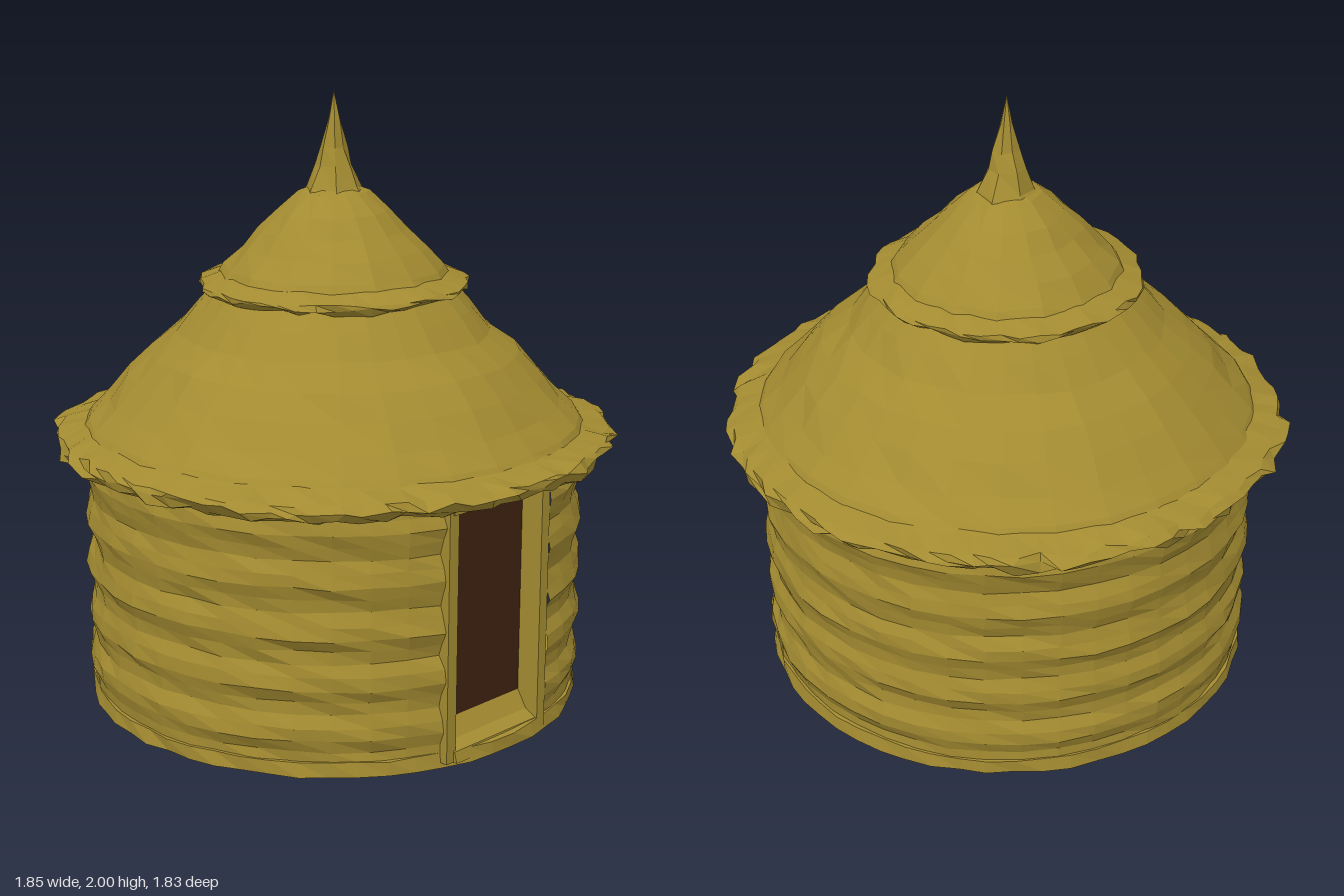
import * as THREE from 'three';

// Small seeded generator for the hand-shaped unevenness
function makeRandom(seed) {
  let s = seed;
  return () => {
    s = (s * 16807) % 2147483647;
    return (s / 2147483647) * 2 - 1;
  };
}

// Lathe whose rows are [radius, height, unevenness]; the seam stays closed
function roughLathe(rows, segments, seed, start = 0, length = Math.PI * 2) {
  const geometry = new THREE.LatheGeometry(
    rows.map(([r, y]) => new THREE.Vector2(r, y)), segments, start, length);
  const random = makeRandom(seed);
  const position = geometry.attributes.position;
  const n = rows.length;
  const closed = length > 6.28;
  for (let i = 0; i <= segments; i++) {
    for (let j = 0; j < n; j++) {
      const k = i * n + j;
      if (closed && i === segments) {
        position.setXYZ(k, position.getX(j), position.getY(j), position.getZ(j));
        continue;
      }
      const [r, y, rough = 0] = rows[j];
      const radius = r < 0.002 ? r : r + random() * rough;
      const angle = start + (i / segments) * length + (r > 0.1 ? random() * rough * 0.8 : 0);
      position.setXYZ(k, Math.sin(angle) * radius,
        Math.max(0, y + (r < 0.002 ? 0 : random() * rough * 0.6)), Math.cos(angle) * radius);
    }
  }
  geometry.computeVertexNormals();
  return geometry;
}

export function createModel() {
  const hut = new THREE.Group();
  hut.name = 'thatchedHut';

  const straw = new THREE.MeshStandardMaterial({ color: 0xa38b31, flatShading: true });
  straw.name = 'straw';
  const darkWood = new THREE.MeshStandardMaterial({ color: 0x3d2210, flatShading: true });
  darkWood.name = 'dark wood';

  const add = (name, geometry, material = straw) => {
    const mesh = new THREE.Mesh(geometry, material);
    mesh.name = name;
    hut.add(mesh);
    return mesh;
  };
  const addBox = (name, x0, x1, y0, y1, z0, z1, material) =>
    add(name, new THREE.BoxGeometry(x1 - x0, y1 - y0, z1 - z0), material)
      .position.set((x0 + x1) / 2, (y0 + y1) / 2, (z0 + z1) / 2);

  // Base with a rough underside and a slight flare
  add('base', roughLathe([
    [0, 0.008], [0.25, 0.01, 0.004], [0.45, 0.01, 0.008], [0.6, 0.01, 0.014],
    [0.7, 0.012, 0.016], [0.77, 0.012, 0.014], [0.815, 0.015, 0.006],
    [0.81, 0.06, 0.006], [0.7, 0.065],
  ], 56, 11));

  // Banded wall, open on the +x side for the doorway
  const wallRows = [];
  for (let i = 0; i <= 20; i++) {
    const y = 0.05 + i * 0.041;
    const wave = Math.cos(((y - 0.15) / 0.16) * Math.PI * 2);
    wallRows.push([0.81 + 0.011 * wave, y, 0.006]);
  }
  const doorStart = 1.23, doorEnd = 1.77;
  add('wall', roughLathe(wallRows, 40, 23, doorEnd, Math.PI * 2 - (doorEnd - doorStart)));

  // Doorway: jambs, lintel, recessed door and sloping threshold
  addBox('frontJamb', 0.66, 0.785, 0.03, 0.86, 0.235, 0.275);
  addBox('backJamb', 0.66, 0.797, 0.03, 0.86, -0.165, -0.13);
  addBox('lintel', 0.66, 0.79, 0.83, 0.88, -0.15, 0.26);
  addBox('door', 0.67, 0.715, 0.1, 0.84, -0.14, 0.245, darkWood);

  const slope = new THREE.Shape([
    [0.66, 0.03], [0.8, 0.03], [0.79, 0.065], [0.75, 0.085], [0.715, 0.14], [0.66, 0.14],
  ].map(([x, y]) => new THREE.Vector2(x, y)));
  const threshold = new THREE.ExtrudeGeometry(slope, { depth: 0.385, bevelEnabled: false });
  threshold.translate(0, 0, -0.14);
  add('threshold', threshold);

  // Lower roof and its ragged eave
  add('lowerRoof', roughLathe([
    [0.83, 0.91], [0.8, 0.95, 0.006], [0.74, 1.01, 0.008], [0.67, 1.09, 0.008],
    [0.6, 1.165, 0.008], [0.51, 1.235, 0.008], [0.45, 1.31, 0.006], [0.38, 1.39, 0.004],
  ], 30, 37));
  add('lowerEave', roughLathe([
    [0.7, 0.86], [0.8, 0.85, 0.006], [0.855, 0.85, 0.016], [0.895, 0.865, 0.022],
    [0.915, 0.89, 0.022], [0.895, 0.908, 0.014], [0.82, 0.93, 0.005], [0.76, 0.95],
  ], 84, 51));

  // Upper roof and its ragged eave
  add('upperRoof', roughLathe([
    [0.385, 1.395], [0.355, 1.44, 0.006], [0.3, 1.5, 0.008], [0.24, 1.56, 0.008],
    [0.185, 1.62, 0.008], [0.11, 1.68, 0.006], [0.03, 1.71],
  ], 16, 67));
  add('upperEave', roughLathe([
    [0.33, 1.37], [0.37, 1.36, 0.008], [0.41, 1.362, 0.012], [0.44, 1.38, 0.012],
    [0.435, 1.394, 0.01], [0.37, 1.418, 0.004], [0.32, 1.43],
  ], 46, 83));

  // Pointed tip
  add('spire', roughLathe([
    [0.135, 1.64, 0.012], [0.1, 1.69, 0.016], [0.065, 1.76, 0.008],
    [0.042, 1.82, 0.006], [0.02, 1.91, 0.003], [0, 2],
  ], 7, 97));

  return hut;
}
